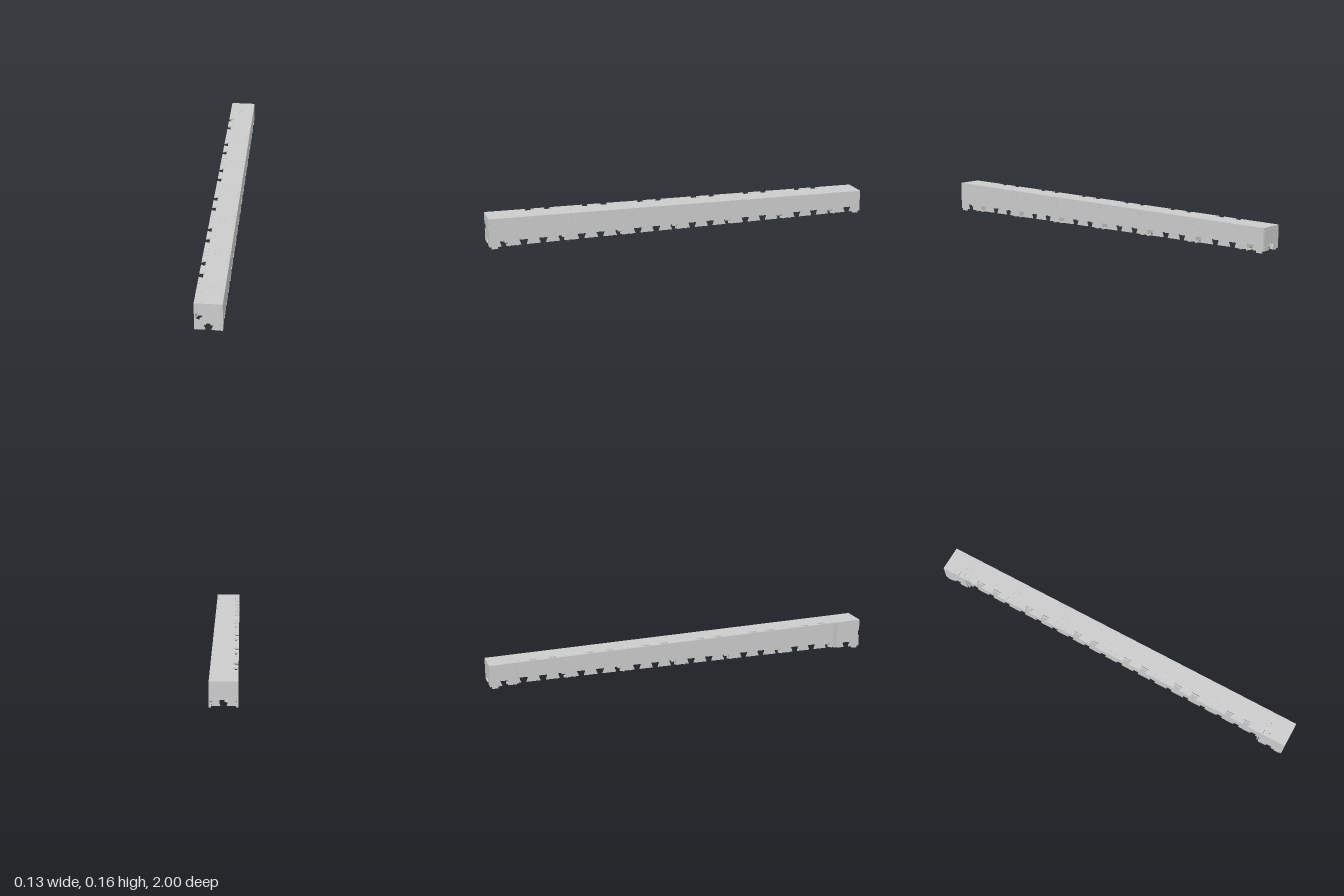
import * as THREE from 'three';

const T = 0.006;        // sheet thickness
const W = 0.065;        // half width
const BASE = 0.01;      // lower edge of the sheets
const PITCH = 0.0975;   // spacing of the dovetails
const topY = z => 0.1375 + 0.0175 * z;
const mat = new THREE.MeshStandardMaterial({ color: 0xcccccc, flatShading: true, side: THREE.DoubleSide });

// Points of one dovetail cut: s runs along the edge, d into the sheet
const dovetail = (c, h = 0.026) => [[c - 0.0135, 0], [c - 0.0225, h], [c + 0.0225, h], [c + 0.0135, 0]];

// Dovetail with a round relief at its root
function relieved(c) {
  const p = dovetail(c), arc = [];
  for (let i = 0; i <= 8; i++) {
    const a = Math.PI * (1 - i / 8);
    arc.push([c + 0.011 * Math.cos(a), 0.026 + 0.011 * Math.sin(a)]);
  }
  return [p[0], p[1], ...arc, p[2], p[3]];
}

// Flat sheet with small screw holes
function sheet(points, holes = []) {
  const shape = new THREE.Shape(points.map(p => new THREE.Vector2(p[0], p[1])));
  for (const [x, y] of holes) {
    const h = new THREE.Path();
    h.absellipse(x, y, 0.0025, 0.0035, 0, Math.PI * 2, true, 0);
    shape.holes.push(h);
  }
  return new THREE.ExtrudeGeometry(shape, { depth: T, bevelEnabled: false, curveSegments: 3 });
}

function add(group, name, geo, x = 0, y = 0, z = 0) {
  const m = new THREE.Mesh(geo, mat);
  m.name = name;
  m.position.set(x, y, z);
  group.add(m);
  return m;
}

// Lengthwise wall between z0 and z1, dovetailed along its lower edge
function wall(z0, z1) {
  const a = -z1, b = -z0, pts = [[a, BASE]], holes = [];
  for (let k = -10; k < 10; k++) {
    const c = (k + 0.5) * PITCH;
    if (c - 0.03 > a && c + 0.03 < b) pts.push(...dovetail(c).map(([s, d]) => [s, BASE + d]));
  }
  pts.push([b, BASE], [b, topY(-b) - T], [a, topY(-a) - T]);
  for (let k = -9; k <= 9; k += 3) {
    for (const e of [-0.018, 0.018]) {
      const u = k * PITCH + e;
      if (u > a + 0.01 && u < b - 0.01) {
        holes.push([u, topY(-u) - 0.02], [u, topY(-u) - 0.034], [u, 0.046]);
      }
    }
  }
  return sheet(pts, holes).rotateY(Math.PI / 2);
}

// End wall; the front one also has a dovetail in its right edge
function endWall(z, sideCut) {
  const h = topY(z) - T, pts = [[-W, BASE]];
  pts.push(...relieved(0).map(([s, d]) => [s, BASE + d]));
  pts.push([W, BASE], [W, h], [-W, h]);
  if (sideCut) pts.push(...relieved(0).reverse().map(([s, d]) => [-W + d, 0.082 + s]));
  const holes = [];
  for (const x of [-0.055, 0.055])
    for (const y of [0.016, 0.03, 0.043, h - 0.037, h - 0.024, h - 0.01]) holes.push([x, y]);
  holes.push([-0.008, h - 0.006], [0.021, h - 0.006]);
  return sheet(pts, holes);
}

// Sloping cover with dovetail cuts along the right edge
function cover() {
  const pts = [[W, -1], [W, 1], [-W, 1]], holes = [];
  for (let k = 8; k >= -8; k--) {
    if (k % 3) pts.push(...dovetail(k * PITCH).reverse().map(([s, d]) => [-W + d, s]));
  }
  pts.push([-W, -1]);
  for (let k = -9; k <= 9; k += 3) {
    const c = k * PITCH;
    for (const x of [-0.009, 0.009])
      for (const s of [-0.012, 0.012]) holes.push([x, c + s]);
    for (const s of [-0.06, -0.03, 0, 0.03, 0.06]) holes.push([0.055, c + s]);
    for (const s of [-0.03, 0, 0.03]) holes.push([-0.055, c + s], [-0.042, c + s]);
  }
  const g = sheet(pts, holes).rotateX(Math.PI / 2);
  const p = g.attributes.position;
  for (let i = 0; i < p.count; i++) p.setY(i, p.getY(i) + topY(p.getZ(i)));
  g.computeVertexNormals();
  return g;
}

// Cross rib: two webs tied by a centre plate, standing on small feet
function rib(z, x0) {
  const g = new THREE.Group();
  g.name = 'crossRib';
  const x1 = W - T, h = topY(z) - T - 0.001 - BASE, mid = BASE + h / 2;
  for (const s of [-1, 1]) {
    add(g, 'ribWeb', new THREE.BoxGeometry(x1 - x0, h, T), (x0 + x1) / 2, mid, s * 0.018);
    for (const x of [-0.0155, 0.0315]) {
      add(g, 'ribFoot', new THREE.BoxGeometry(0.024, BASE, T), x, BASE / 2, s * 0.018);
      add(g, 'ribFootPad', new THREE.BoxGeometry(0.012, 0.008, 0.016), x, 0.006, s * 0.027);
    }
  }
  add(g, 'ribTie', new THREE.BoxGeometry(T, h, 0.03), 0.008, mid, 0);
  g.position.z = z;
  return g;
}

export function createModel() {
  const model = new THREE.Group();
  model.name = 'taperedBoxBeam';
  const end = 1 - T, step = 0.87, inset = -0.046;

  add(model, 'cover', cover());
  add(model, 'leftWall', wall(-end, end), W - T);
  add(model, 'insetRightWall', wall(-step, step), inset);
  add(model, 'rightFrontWall', wall(step, end), -W);
  add(model, 'rightBackWall', wall(-end, -step), -W);
  add(model, 'frontWall', endWall(1, true), 0, 0, end);
  add(model, 'backWall', endWall(-1, false), 0, 0, -1);

  for (let k = -9; k <= 9; k += 3) {
    model.add(rib(k * PITCH, Math.abs(k) === 9 ? -W + T : inset + T));
  }

  // Corner feet and the returns that close the stepped ends
  for (const s of [-1, 1]) {
    const h = topY(s * step) - T - BASE - 0.001;
    add(model, 'stepReturn', new THREE.BoxGeometry(0.024, h, T), -0.053, BASE + h / 2, s * step);
    for (const x of [-0.06, 0.06])
      add(model, 'cornerFoot', new THREE.BoxGeometry(0.01, 0.014, 0.03), x, 0.007, s * 0.975);
  }
  return model;
}
